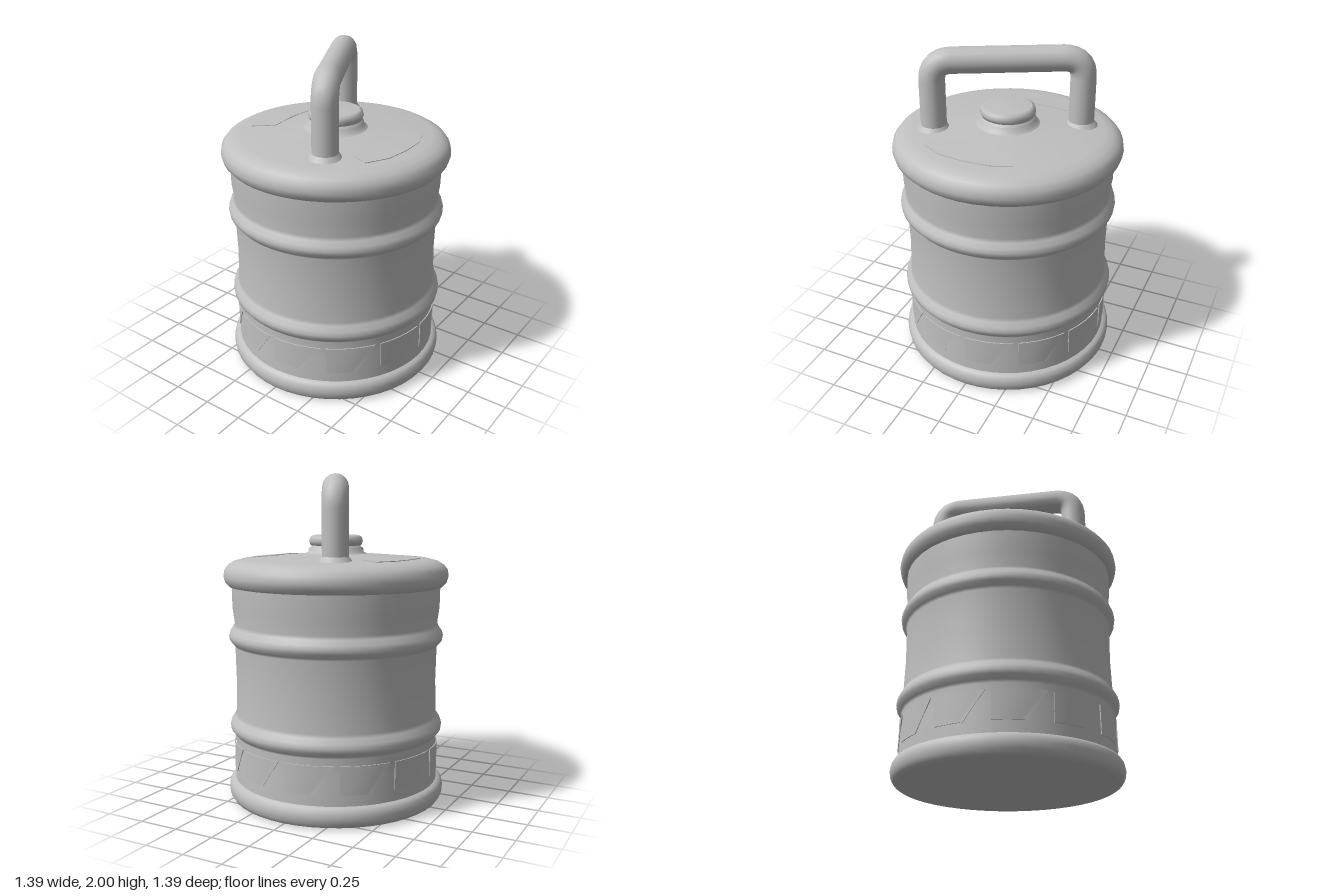
import * as THREE from 'three';

const SEG = 48;
const metal = new THREE.MeshStandardMaterial({ color: 0xc0c0c0 });
metal.name = 'grey metal';

function add(parent, name, geometry) {
  const mesh = new THREE.Mesh(geometry, metal);
  mesh.name = name;
  parent.add(mesh);
  return mesh;
}

// Turned part from [radius, height] pairs, listed bottom to top
function turned(points) {
  return new THREE.LatheGeometry(points.map(([r, y]) => new THREE.Vector2(r, y)), SEG);
}

// Height of the gently sloping lid at a given radius
const lidHeight = (r) => 1.545 - 0.08 * r;

// Rounded reinforcing rib around the drum wall
const rib = (y, wall) => [
  [wall, y - 0.065], [wall + 0.012, y - 0.05], [wall + 0.033, y - 0.025], [wall + 0.037, y],
  [wall + 0.03, y + 0.025], [wall + 0.01, y + 0.055], [wall, y + 0.075],
];

export function createModel() {
  const model = new THREE.Group();
  model.name = 'canister';

  // Drum wall with two ribs
  add(model, 'drumWall', turned([
    [0.64, 0.1], [0.637, 0.3], ...rib(0.47, 0.63), [0.625, 0.75], ...rib(1.03, 0.63), [0.643, 1.2], [0.646, 1.36],
  ]));

  // Base rim and flat underside
  add(model, 'baseRim', turned([
    [0.63, 0.004], [0.66, 0.01], [0.676, 0.035], [0.681, 0.07], [0.675, 0.1], [0.66, 0.122], [0.635, 0.13],
  ]));
  const bottom = add(model, 'underside', new THREE.CircleGeometry(0.645, SEG));
  bottom.rotation.x = Math.PI / 2;

  // Overhanging rounded lid
  add(model, 'lid', turned([
    [0.635, 1.33], [0.662, 1.335], [0.685, 1.36], [0.695, 1.395], [0.688, 1.435], [0.665, 1.465],
    [0.63, 1.485], [0.58, lidHeight(0.58)], [0.4, lidHeight(0.4)], [0.2, lidHeight(0.2)], [0, 1.545],
  ]));

  // Filler cap: collar below, rounded knob above
  add(model, 'capCollar', turned([
    [0.2, 1.525], [0.172, 1.54], [0.168, 1.565], [0.155, 1.57], [0.145, 1.59],
  ]));
  add(model, 'capKnob', turned([
    [0.14, 1.575], [0.157, 1.582], [0.166, 1.605], [0.16, 1.63], [0.14, 1.642], [0, 1.644],
  ]));

  // Raised plates on the lid, one turned half round from the other
  const outline = [[-0.24, 0.46], [-0.17, 0.33], [0.02, 0.34], [0.3, 0.33], [0.33, 0.43], [0.2, 0.5], [0.04, 0.52], [-0.12, 0.51]];
  const plate = new THREE.ExtrudeGeometry(
    new THREE.Shape(outline.map(([x, y]) => new THREE.Vector2(x, y))), { depth: 0.007, bevelEnabled: false });
  plate.rotateX(-Math.PI / 2);
  const p = plate.attributes.position;
  for (let i = 0; i < p.count; i++) {
    p.setY(i, p.getY(i) - 0.003 + lidHeight(Math.hypot(p.getX(i), p.getZ(i))));
  }
  plate.computeVertexNormals();
  add(model, 'lidPlateBack', plate);
  add(model, 'lidPlateFront', plate).rotation.y = Math.PI;

  // Slanted raised tabs around the lower wall, bent to the drum
  const tab = new THREE.BoxGeometry(1, 1, 1, 6, 1, 1);
  const t = tab.attributes.position;
  for (let i = 0; i < t.count; i++) {
    const u = t.getX(i) + 0.5, v = t.getY(i) + 0.5;
    const angle = u * (0.28 + 0.19 * v);
    const r = 0.64 + 0.006 * t.getZ(i);
    t.setXYZ(i, Math.sin(angle) * r, 0.195 + 0.17 * v, Math.cos(angle) * r);
  }
  tab.computeVertexNormals();
  for (let i = 0; i < 12; i++) add(model, 'wallTab', tab).rotation.y = (i * Math.PI) / 6;

  // Carrying handle, set diagonally across the lid
  const handle = new THREE.Group();
  handle.name = 'handle';
  handle.rotation.y = 0.48;
  model.add(handle);
  const V = (x, y) => new THREE.Vector3(x, y, 0);
  const w = 0.44, top = 1.923, c = 0.12;
  const path = new THREE.CurvePath();
  path.add(new THREE.LineCurve3(V(-w, 1.45), V(-w, top - c)));
  path.add(new THREE.QuadraticBezierCurve3(V(-w, top - c), V(-w, top), V(-w + c, top)));
  path.add(new THREE.LineCurve3(V(-w + c, top), V(w - c, top)));
  path.add(new THREE.QuadraticBezierCurve3(V(w - c, top), V(w, top), V(w, top - c)));
  path.add(new THREE.LineCurve3(V(w, top - c), V(w, 1.45)));
  add(handle, 'handleBar', new THREE.TubeGeometry(path, 64, 0.077, 16));

  // Small weld flares where the handle meets the lid
  for (const side of [-1, 1]) {
    const flare = add(handle, 'handleFoot', new THREE.CylinderGeometry(0.077, 0.1, 0.03, 16, 1, true));
    flare.position.set(side * w, 1.517, 0);
  }
  return model;
}
